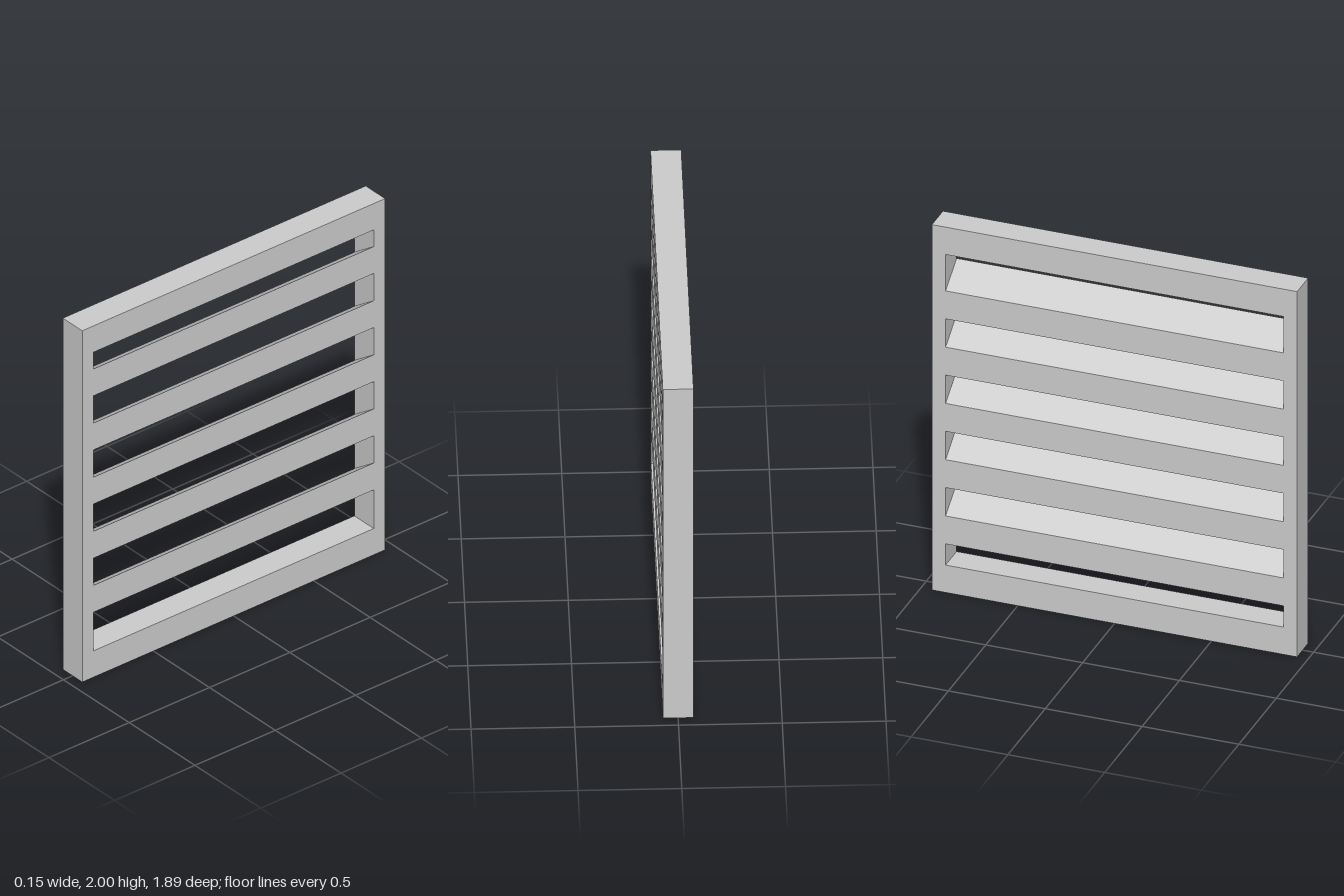
import * as THREE from 'three';

const HALF_DEPTH = 0.074, HALF_WIDTH = 0.943, HEIGHT = 2;
const OPEN_HALF = 0.872, RAIL = 0.15;
const SLATS = 5, PITCH = 0.308, TOP_SLAT = 1.755, SLAT_HEIGHT = 0.153, DROP = 0.104;

const polygon = (points) => points.map(([x, y]) => new THREE.Vector2(x, y));
const rectangle = (half, bottom, top) =>
  polygon([[-half, bottom], [half, bottom], [half, top], [-half, top]]);

export function createModel() {
  const group = new THREE.Group();
  const material = new THREE.MeshStandardMaterial({ color: 0xcccccc, flatShading: true });

  // Rectangular frame with one opening, turned so its faces look along x
  const outline = new THREE.Shape(rectangle(HALF_WIDTH, 0, HEIGHT));
  outline.holes.push(new THREE.Path(rectangle(OPEN_HALF, RAIL, HEIGHT - RAIL)));
  const frameGeometry = new THREE.ExtrudeGeometry(outline, { depth: HALF_DEPTH * 2, bevelEnabled: false });
  frameGeometry.translate(0, 0, -HALF_DEPTH).rotateY(Math.PI / 2);
  const frame = new THREE.Mesh(frameGeometry, material);
  frame.name = 'frame';
  group.add(frame);

  // Slanted slats: upright edges flush with the frame, falling towards -x
  const section = new THREE.Shape(polygon([
    [HALF_DEPTH, -SLAT_HEIGHT], [HALF_DEPTH, 0],
    [-HALF_DEPTH, -DROP], [-HALF_DEPTH, -DROP - SLAT_HEIGHT],
  ]));
  const slatGeometry = new THREE.ExtrudeGeometry(section, { depth: OPEN_HALF * 2, bevelEnabled: false });
  slatGeometry.translate(0, 0, -OPEN_HALF);
  for (let i = 0; i < SLATS; i++) {
    const slat = new THREE.Mesh(slatGeometry, material);
    slat.name = `slat${i + 1}`;
    slat.position.y = TOP_SLAT - i * PITCH;
    group.add(slat);
  }
  return group;
}
